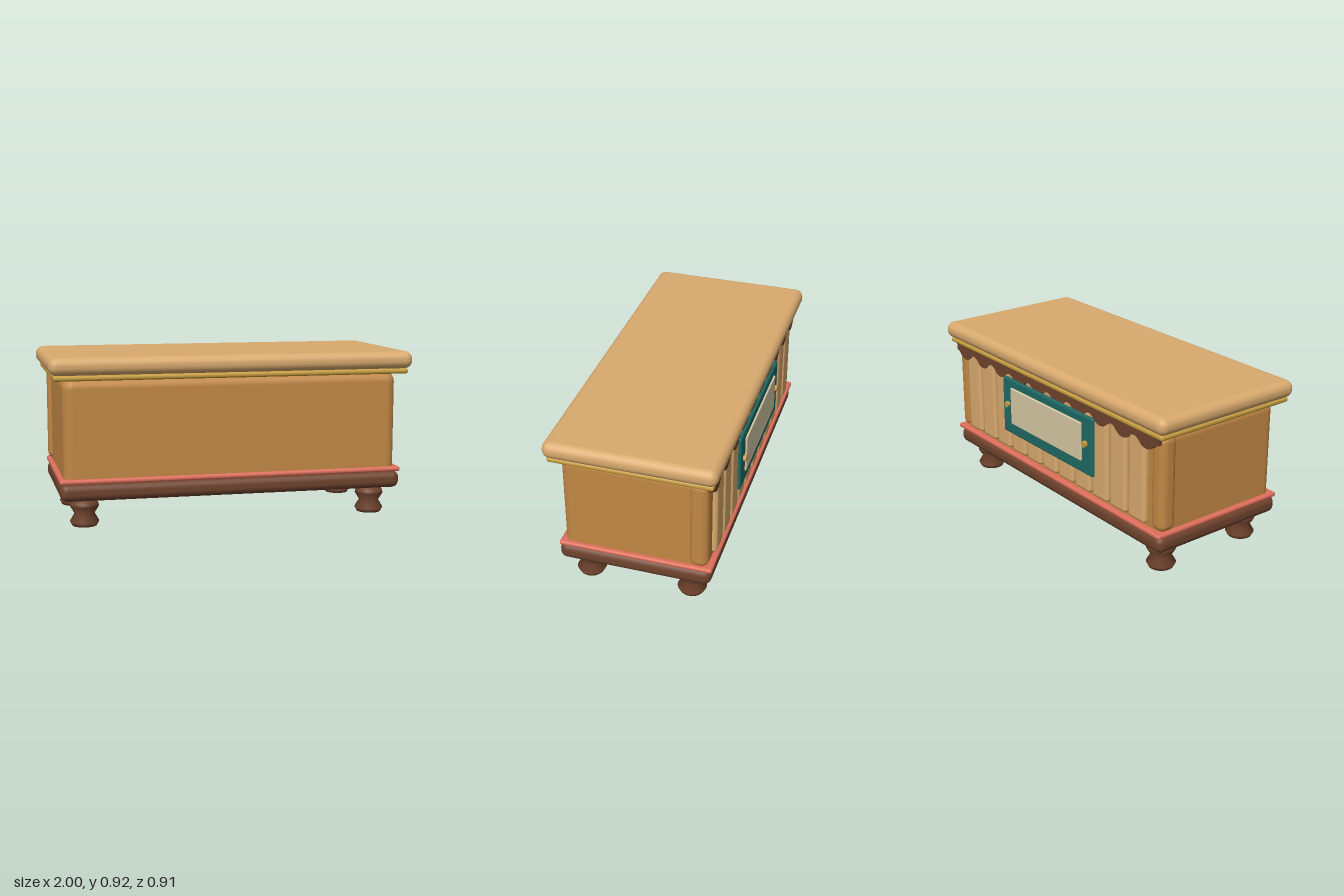
import * as THREE from 'three';
import { RoundedBoxGeometry } from 'three/addons/geometries/RoundedBoxGeometry.js';

const paint = (name, color) => {
  const m = new THREE.MeshStandardMaterial({ color });
  m.name = name;
  return m;
};

export function createModel() {
  const lightWood = paint('lightWood', 0xd9aa6e);
  const wood = paint('wood', 0xc28845);
  const darkWood = paint('darkWood', 0x6f432d);
  const coral = paint('coral', 0xdd6f5b);
  const gold = paint('gold', 0xc79d40);
  const teal = paint('teal', 0x1f6964);
  const cream = paint('cream', 0xd6c9a4);

  const model = new THREE.Group();
  model.name = 'counter';

  const add = (name, geometry, material, x = 0, y = 0, z = 0) => {
    const mesh = new THREE.Mesh(geometry, material);
    mesh.name = name;
    mesh.position.set(x, y, z);
    model.add(mesh);
    return mesh;
  };
  // Rounded box given by its lower and upper limits on each axis
  const block = (name, material, [x0, x1], [y0, y1], [z0, z1], r) =>
    add(name, new RoundedBoxGeometry(x1 - x0, y1 - y0, z1 - z0, 4, r), material,
      (x0 + x1) / 2, (y0 + y1) / 2, (z0 + z1) / 2);

  // Stacked horizontal layers
  block('top', lightWood, [-1, 1], [0.823, 0.918], [-0.457, 0.457], 0.044);
  block('topTrim', gold, [-0.975, 0.975], [0.795, 0.824], [-0.435, 0.437], 0.013);
  block('body', wood, [-0.925, 0.925], [0.2, 0.802], [-0.392, 0.39], 0.055);
  block('baseTrim', coral, [-0.95, 0.95], [0.243, 0.27], [-0.424, 0.41], 0.012);
  block('base', darkWood, [-0.948, 0.948], [0.15, 0.246], [-0.415, 0.415], 0.04);

  // Turned feet
  const footProfile = [[0, 0], [0.066, 0], [0.079, 0.024], [0.054, 0.067],
    [0.079, 0.108], [0.076, 0.122], [0.058, 0.152], [0, 0.152]];
  const footGeometry = new THREE.LatheGeometry(
    footProfile.map(([r, y]) => new THREE.Vector2(r, y)), 24);
  for (const x of [-0.81, 0.81])
    for (const z of [-0.283, 0.285]) add('foot', footGeometry, darkWood, x, 0, z);

  // Rounded posts at the two back corners
  for (const s of [-1, 1])
    block('cornerPost', wood, [s * 0.895 - 0.05, s * 0.895 + 0.05],
      [0.266, 0.796], [-0.4, -0.298], 0.04);

  // Upright slats along the back
  for (let i = -5; i <= 5; i++) {
    const x = i * 0.152;
    block('slat', lightWood, [x - 0.066, x + 0.066], [0.285, 0.795], [-0.418, -0.368], 0.02);
  }

  // Scalloped valance hanging under the top at the back
  const lobes = 10, pitch = 0.186, half = lobes * pitch / 2;
  const valance = new THREE.Shape();
  valance.moveTo(half, 0.798);
  valance.lineTo(-half, 0.798);
  valance.lineTo(-half, 0.755);
  for (let i = 0; i < lobes; i++) {
    const x = -half + i * pitch;
    valance.bezierCurveTo(x + 0.04, 0.755, x + 0.04, 0.712, x + pitch / 2, 0.712);
    valance.bezierCurveTo(x + pitch - 0.04, 0.712, x + pitch - 0.04, 0.755, x + pitch, 0.755);
  }
  add('valance', new THREE.ExtrudeGeometry(valance,
    { depth: 0.026, bevelEnabled: false, curveSegments: 8 }), darkWood, 0, 0, -0.42);

  // Framed panel with two knobs
  block('panelFrame', teal, [-0.42, 0.42], [0.4, 0.736], [-0.435, -0.41], 0.012);
  block('panelInset', cream, [-0.33, 0.33], [0.47, 0.69], [-0.445, -0.429], 0.006);
  const knobGeometry = new THREE.CylinderGeometry(0.018, 0.018, 0.022, 16);
  for (const s of [-1, 1])
    add('panelKnob', knobGeometry, gold, s * 0.363, 0.58, -0.441).rotation.x = Math.PI / 2;

  return model;
}
